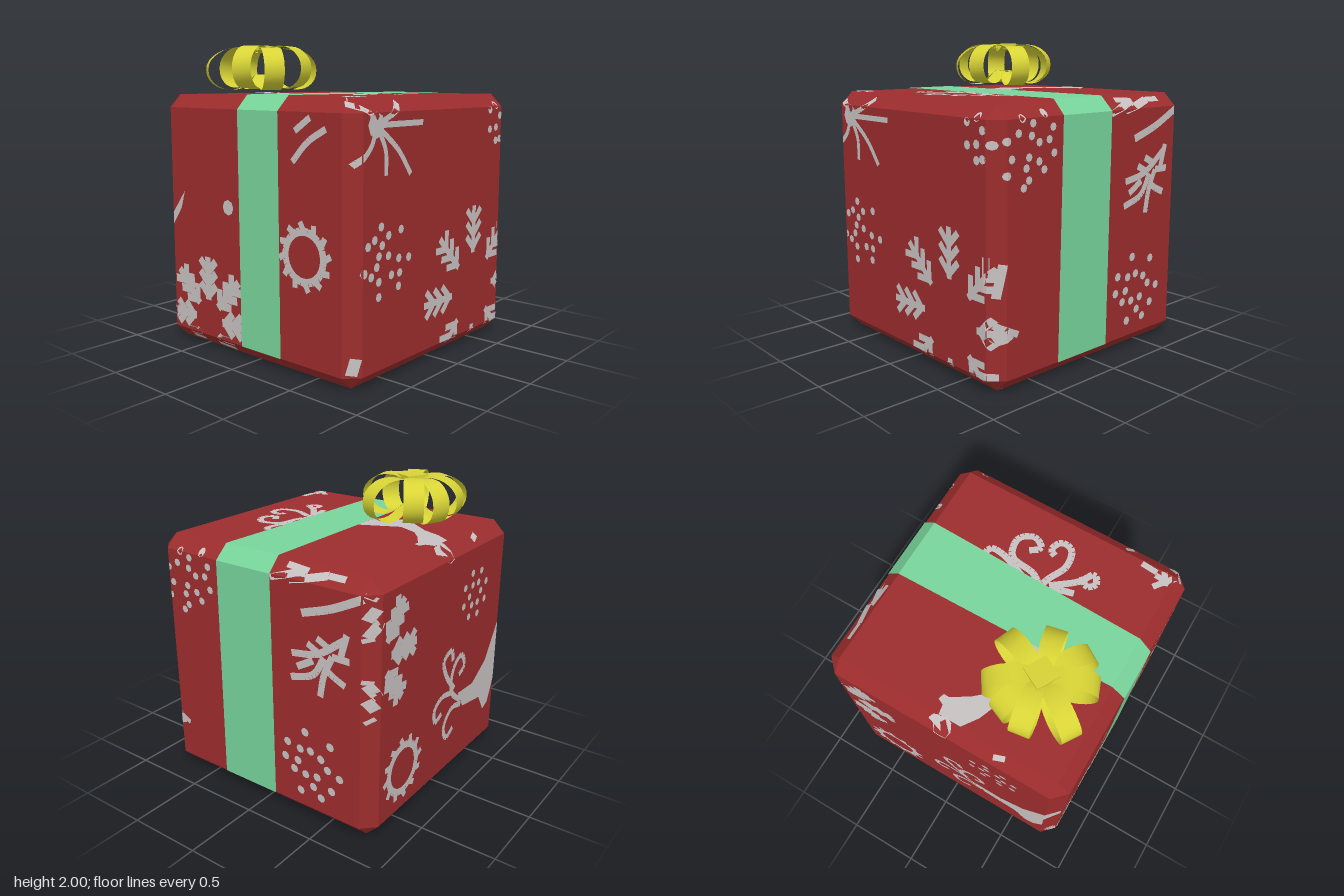
import * as THREE from 'three';
import { ConvexGeometry } from 'three/addons/geometries/ConvexGeometry.js';

const H = 0.8375, F = 0.7525; // half size of the box, half size of its flat faces

const material = (name, color, side = THREE.FrontSide) => {
  const m = new THREE.MeshStandardMaterial({ color, side });
  m.name = name;
  return m;
};

const geometryOf = (positions, index) => {
  const g = new THREE.BufferGeometry();
  g.setAttribute('position', new THREE.Float32BufferAttribute(positions, 3));
  if (index) g.setIndex(index);
  g.computeVertexNormals();
  return g;
};

// Strip of quads through pairs of edge points
function strip(pairs) {
  const index = [];
  for (let i = 0; i < pairs.length - 1; i++) {
    const a = 2 * i;
    index.push(a, a + 1, a + 2, a + 1, a + 3, a + 2);
  }
  return geometryOf(pairs.flat(2), index);
}

// Collects flat 2D motifs for one face, then folds them over the chamfers
function motifSheet(lift = H) {
  const tris = [];
  const inside = (u, v) => Math.abs(u) < 0.81 && v - lift > -0.76 && v - lift < 0.81;
  const sheet = {
    fill(points) {
      const pts = points.map(([u, v]) => new THREE.Vector2(u, v));
      if (THREE.ShapeUtils.isClockWise(pts)) pts.reverse();
      for (const t of THREE.ShapeUtils.triangulateShape(pts, [])) tris.push(...t.map(i => [pts[i].x, pts[i].y]));
    },
    stroke(points, w = 0.04) {
      const curve = new THREE.CatmullRomCurve3(points.map(([u, v]) => new THREE.Vector3(u, v, 0)));
      const n = Math.max(2, Math.ceil(curve.getLength() / 0.03));
      const p = curve.getSpacedPoints(n);
      for (let i = 0; i < n; i++) {
        const a = p[i], b = p[i + 1];
        if (!inside((a.x + b.x) / 2, (a.y + b.y) / 2)) continue;
        const l = a.distanceTo(b) || 1, x = -(b.y - a.y) / l * w / 2, y = (b.x - a.x) / l * w / 2;
        const q = [[a.x - x, a.y - y], [b.x - x, b.y - y], [b.x + x, b.y + y], [a.x + x, a.y + y]];
        tris.push(q[0], q[1], q[2], q[0], q[2], q[3]);
      }
    },
    dots(points, r = 0.027) {
      for (const [u, v] of points) {
        sheet.fill(Array.from({ length: 8 }, (_, i) => [u + r * Math.cos(i * Math.PI / 4), v + r * Math.sin(i * Math.PI / 4)]));
      }
    },
    // Snowflake with feathered arms around an open middle
    flake(u, v, r0, r1, n = 8, w = 0.045) {
      for (let k = 0; k < n; k++) {
        const a = k * 2 * Math.PI / n, at = (r, s) => [u + r * Math.cos(a) - s * Math.sin(a), v + r * Math.sin(a) + s * Math.cos(a)];
        sheet.stroke([at(r0, 0), at(r1, 0)], w);
        for (const t of [0.1, 0.38, 0.66]) for (const s of [-1, 1]) {
          const r = r0 + (r1 - r0) * t, l = (r1 - r0) * 0.27;
          sheet.stroke([at(r, 0), at(r + l, s * l)], w);
        }
      }
    },
    // Ring with short outward spikes
    wreath(u, v, r) {
      const at = (i, k) => [u + k * Math.cos(i * Math.PI / 6), v + k * Math.sin(i * Math.PI / 6)];
      sheet.stroke(Array.from({ length: 13 }, (_, i) => at(i, r * 0.8)), 0.05);
      for (let i = 0; i < 12; i++) sheet.stroke([at(i, r * 0.8), at(i + 0.3, r * 1.1)], 0.04);
    },
    mesh(name, U, V, N, mat) {
      const out = [];
      for (const [u, y] of tris) {
        const v = y - lift;
        const d = H + 0.003 - Math.max(0, Math.abs(u) - F) - Math.max(0, Math.abs(v) - F);
        for (let i = 0; i < 3; i++) out.push(U[i] * u + V[i] * v + N[i] * d + (i === 1 ? H : 0));
      }
      const m = new THREE.Mesh(geometryOf(out), mat);
      m.name = name;
      return m;
    },
  };
  return sheet;
}

function frontMotifs() {
  const s = motifSheet();
  // Star burst
  for (const end of [[-0.19, 1.52], [-0.31, 1.22], [-0.55, 1.23], [-0.8, 1.3], [-0.37, 1.66], [-0.8, 1.64]]) {
    s.stroke([[-0.64, 1.52], [(end[0] - 0.64) / 2 + 0.04, (end[1] + 1.52) / 2], end], 0.035);
  }
  s.dots([[-0.64, 1.52]], 0.075);
  s.dots([[0.6, 1.57], [0.68, 1.6], [0.68, 1.45], [0.6, 1.44], [0.68, 1.36], [0.73, 1.37], [0.73, 1.53], [0.78, 1.45]]);
  s.dots([[-0.59, 0.94], [-0.65, 0.87], [-0.52, 0.88], [-0.4, 0.9], [-0.58, 0.83], [-0.71, 0.84], [-0.61, 0.77], [-0.52, 0.76],
    [-0.42, 0.73], [-0.32, 0.72], [-0.63, 0.71], [-0.49, 0.64], [-0.41, 0.64], [-0.68, 0.66], [-0.74, 0.69], [-0.61, 0.62], [-0.42, 0.56], [-0.61, 0.53]]);
  s.flake(0.42, 0.37, 0.25, 0.57);
  s.stroke([[-0.8, 0.1], [-0.78, 0.2]], 0.05);
  return s;
}

function rightMotifs() {
  const s = motifSheet();
  s.dots([[-0.75, 1.47], [-0.64, 1.59], [-0.56, 1.56], [-0.46, 1.61], [-0.4, 1.53], [-0.43, 1.46], [-0.51, 1.45], [-0.57, 1.49], [-0.59, 1.37],
    [-0.51, 1.34], [-0.47, 1.29], [-0.61, 1.31], [-0.59, 1.24], [-0.63, 1.2], [-0.72, 1.37], [-0.67, 1.51], [-0.75, 1.28], [-0.39, 1.38]], 0.025);
  s.dots([[0.35, 0.62], [0.54, 0.58], [0.21, 0.51], [0.31, 0.49], [0.39, 0.5], [0.47, 0.47], [0.19, 0.4], [0.29, 0.4], [0.52, 0.41],
    [0.61, 0.38], [0.26, 0.33], [0.35, 0.32], [0.44, 0.33], [0.41, 0.25], [0.31, 0.19], [0.47, 0.19], [0.55, 0.27]], 0.029);
  // Feathers and a leafy branch
  s.stroke([[0.34, 1.4], [0.55, 1.47], [0.76, 1.57]], 0.05);
  s.stroke([[0.11, 1.57], [0.34, 1.64]]);
  s.stroke([[0.25, 1.58], [0.5, 1.64]]);
  for (const p of [[[0.26, 1.13], [0.45, 1.17], [0.64, 1.3]], [[0.25, 0.97], [0.42, 1.03], [0.5, 1.16]], [[0.47, 0.9], [0.5, 1.05], [0.56, 1.18]],
    [[0.65, 1.02], [0.56, 1.06], [0.5, 1.1]], [[0.38, 1.22], [0.48, 1.17]], [[0.45, 1.27], [0.55, 1.22]], [[0.68, 1.18], [0.56, 1.18]],
    [[0.62, 1.2], [0.66, 1.34]], [[0.3, 1.05], [0.42, 1.12]]]) s.stroke(p, 0.045);
  // Tips of the snowflake round the corner
  s.stroke([[-0.81, 0.42], [-0.67, 0.35]]);
  s.stroke([[-0.81, 0.33], [-0.72, 0.37]], 0.07);
  s.stroke([[-0.8, 0.58], [-0.77, 0.78]]);
  return s;
}

function backMotifs() {
  const s = motifSheet();
  s.flake(-0.78, 1.2, 0.12, 0.4, 7, 0.055);
  s.wreath(-0.49, 0.37, 0.2);
  const ring = (n, r, o) => Array.from({ length: n }, (_, i) => [0.36 + r * Math.cos(i * 6.283 / n + o), 1.27 + r * Math.sin(i * 6.283 / n + o)]);
  s.dots([...ring(6, 0.08, 0), ...ring(8, 0.16, 0.3)], 0.025);
  // Deer with curled antlers
  s.fill([[0.2, 0.6], [0.41, 0.59], [0.59, 0.7], [0.75, 0.95], [0.75, 0.5], [0.68, 0.33], [0.61, 0.3], [0.53, 0.43], [0.28, 0.47]]);
  s.fill([[0.75, 0.95], [0.83, 0.98], [0.83, 0.88], [0.75, 0.75]]);
  s.stroke([[0.24, 0.53], [0.1, 0.66], [0.12, 0.82], [0.22, 0.88], [0.27, 0.78], [0.2, 0.74]]);
  s.stroke([[0.14, 0.66], [0.02, 0.8], [-0.02, 0.92], [0.08, 0.96], [0.1, 0.88]]);
  s.stroke([[0.12, 0.64], [-0.03, 0.66], [-0.12, 0.6], [-0.1, 0.51], [-0.02, 0.54]]);
  s.stroke([[0.25, 0.5], [0.12, 0.52], [0.02, 0.42], [0.06, 0.32], [0.15, 0.36]]);
  s.dots([[0, 1.63]], 0.06);
  return s;
}

function leftMotifs() {
  const s = motifSheet();
  s.fill([[-0.75, 0.88], [-0.62, 1.04], [-0.66, 0.92], [-0.75, 0.8]]);
  s.dots([[-0.19, 0.97]], 0.05);
  s.wreath(0.47, 0.75, 0.19);
  s.flake(-0.4, 0.2, 0.13, 0.42, 8, 0.055);
  s.stroke([[0.38, 1.3], [0.5, 1.42], [0.64, 1.5]]);
  s.stroke([[0.4, 1.48], [0.52, 1.56]]);
  return s;
}

function topMotifs() {
  const s = motifSheet(0);
  // Deer
  s.fill([[-0.1, 0.75], [0.05, 0.75], [0.06, 0.69], [0.1, 0.67], [0.09, 0.63], [0.05, 0.63], [-0.06, 0.56], [-0.14, 0.49],
    [-0.2, 0.35], [-0.08, 0.09], [-0.28, 0.09], [-0.38, 0.3], [-0.22, 0.52], [-0.17, 0.65]]);
  s.fill([[0, 0.82], [0.1, 0.79], [0.08, 0.76], [0.04, 0.75]]);
  // Curled antlers
  s.stroke([[-0.18, 0.1], [-0.06, -0.28], [-0.13, -0.47], [-0.1, -0.59], [-0.02, -0.6], [0.01, -0.52], [-0.03, -0.5]], 0.045);
  s.stroke([[-0.06, -0.25], [0.02, -0.32], [0.2, -0.36], [0.23, -0.49], [0.14, -0.55], [0.07, -0.5], [0.13, -0.45]], 0.045);
  s.stroke([[-0.1, -0.2], [0.1, -0.28], [0.25, -0.34], [0.35, -0.34], [0.36, -0.26]], 0.045);
  s.stroke([[-0.1, -0.3], [-0.25, -0.42], [-0.31, -0.51], [-0.35, -0.45], [-0.3, -0.41], [-0.25, -0.46]], 0.045);
  s.stroke([[-0.26, -0.33], [-0.16, -0.3], [-0.08, -0.24]], 0.045);
  // Leaf tips at the corner
  for (const p of [[[-0.76, -0.75], [-0.66, -0.62]], [[-0.68, -0.75], [-0.72, -0.66]], [[-0.64, -0.72], [-0.53, -0.73]], [[-0.74, -0.69], [-0.64, -0.7]]]) s.stroke(p);
  s.stroke([[0.79, 0.62], [0.79, 0.5]], 0.03);
  s.stroke([[0.79, 0.36], [0.78, 0.2]], 0.03);
  s.stroke([[-0.42, 0.78], [-0.35, 0.8]], 0.03);
  return s;
}

export function createModel() {
  const model = new THREE.Group();
  model.name = 'giftBox';
  const red = material('wrapping red', 0x9c2c2d);
  const white = material('print white', 0xc8c2c2);
  const green = material('ribbon green', 0x78d49b, THREE.DoubleSide);
  const yellow = material('bow yellow', 0xd8d436, THREE.DoubleSide);
  const add = (parent, name, geo, mat) => {
    const m = new THREE.Mesh(geo, mat);
    m.name = name;
    parent.add(m);
    return m;
  };

  // Box with chamfered edges
  const corners = [];
  for (const x of [-1, 1]) for (const y of [-1, 1]) for (const z of [-1, 1]) for (let k = 0; k < 3; k++) {
    const s = [F, F, F];
    s[k] = H;
    corners.push(new THREE.Vector3(x * s[0], y * s[1] + H, z * s[2]));
  }
  add(model, 'box', new ConvexGeometry(corners), red);

  // Printed motifs on each face
  const top = topMotifs(), up = [0, 1, 0];
  model.add(
    frontMotifs().mesh('frontPrint', [1, 0, 0], up, [0, 0, 1], white),
    rightMotifs().mesh('leftSidePrint', [0, 0, -1], up, [1, 0, 0], white),
    backMotifs().mesh('backPrint', [-1, 0, 0], up, [0, 0, -1], white),
    leftMotifs().mesh('rightSidePrint', [0, 0, 1], up, [-1, 0, 0], white),
    top.mesh('topPrint', [1, 0, 0], [0, 0, -1], [0, 1, 0], white),
    top.mesh('bottomPrint', [-1, 0, 0], [0, 0, -1], [0, -1, 0], white),
  );

  // Ribbon over the top and down both sides: x, y, back z, front z
  const o = 0.006, flatRibbon = strip([
    [-H - o, 0.085, -0.08, 0.27], [-H - o, H + F, -0.085, 0.265], [-F, 2 * H + o, -0.088, 0.27],
    [F, 2 * H + o, -0.108, 0.312], [H + o, H + F, -0.11, 0.318], [H + o, 0.085, -0.1, 0.34],
  ].map(([x, y, a, b]) => [[x, y, b], [x, y, a]])).toNonIndexed();
  flatRibbon.computeVertexNormals();
  add(model, 'ribbon', flatRibbon, green);

  // Bow: eight loops around a square knot
  const bow = new THREE.Group();
  bow.name = 'bow';
  bow.position.set(-0.385, 0, -0.317);
  model.add(bow);
  const profile = new THREE.CatmullRomCurve3([[0.02, 1.955], [0.12, 1.985], [0.24, 1.97], [0.325, 1.89], [0.325, 1.79], [0.26, 1.725],
    [0.15, 1.72], [0.04, 1.8]].map(([r, y]) => new THREE.Vector3(r, y, 0)));
  const loops = [[-98, 1.02], [-67, 0.96], [-33, 1.02], [22, 1.06], [78, 0.98], [123, 1.03], [159, 1.02], [213, 1.14]];
  loops.forEach(([deg, len], i) => {
    const pairs = profile.getSpacedPoints(24).map(p => {
      const w = 0.045 + 0.02 * Math.min(1, p.x / 0.2), y = p.y + (i % 2 ? -0.008 : 0.004);
      return [[p.x * len, y, w], [p.x * len, y, -w]];
    });
    add(bow, 'bowLoop', strip(pairs), yellow).rotation.y = -THREE.MathUtils.degToRad(deg);
  });
  const knot = add(bow, 'bowKnot', new THREE.BoxGeometry(0.15, 0.03, 0.15), yellow);
  knot.position.y = 1.98;
  knot.rotation.set(0.04, -0.5, 0);
  return model;
}
